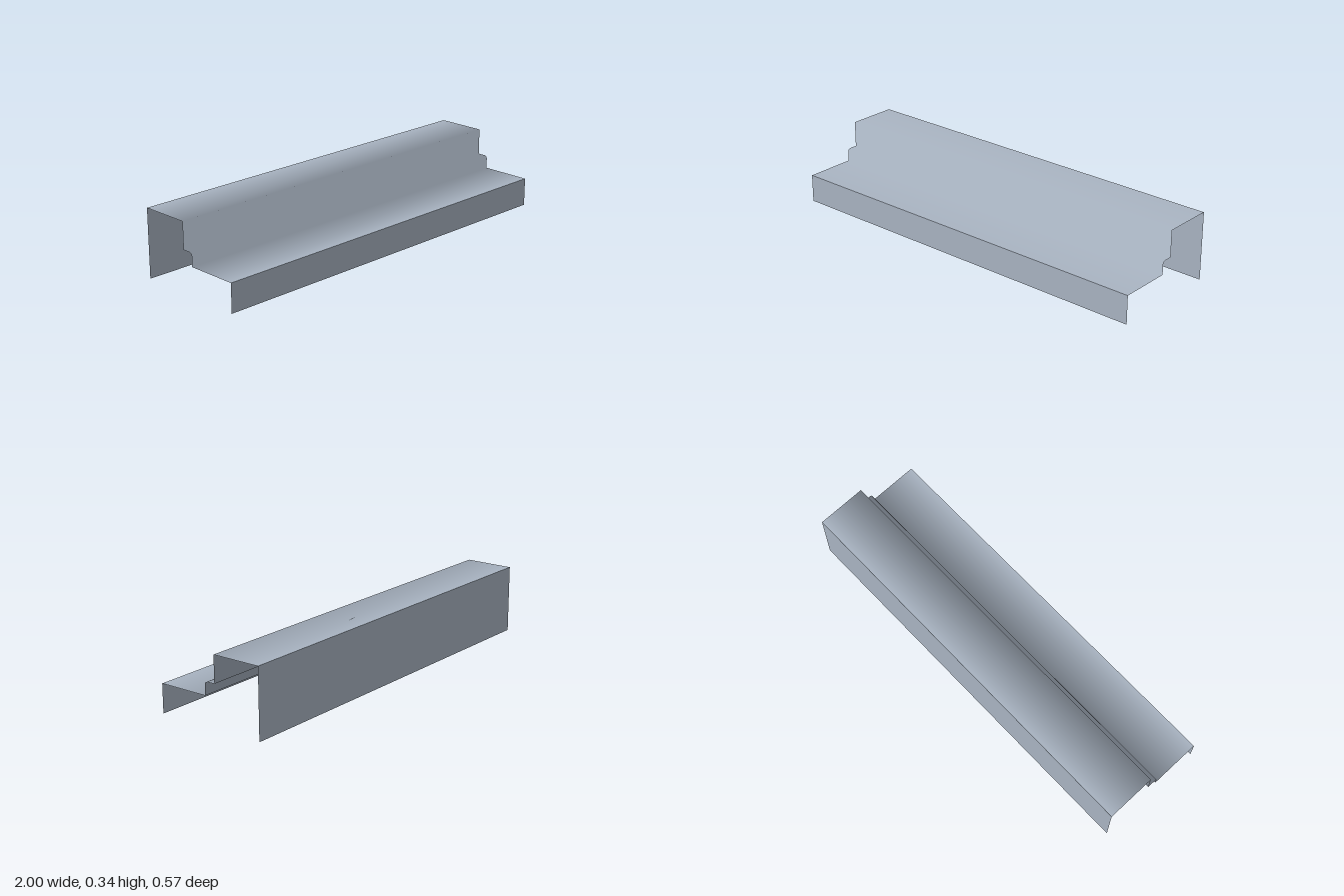
import * as THREE from 'three';

const HALF_LENGTH = 1;

// Sweeps an open profile of [z, y] points along x; normals are [z, y] per point
function sheet(name, profile, normals, material) {
  const position = [], normal = [], index = [];
  profile.forEach(([z, y], i) => {
    const n = new THREE.Vector3(0, normals[i][1], normals[i][0]).normalize();
    for (const x of [-HALF_LENGTH, HALF_LENGTH]) {
      position.push(x, y, z);
      normal.push(n.x, n.y, n.z);
    }
    if (i > 0) {
      const a = 2 * (i - 1);
      index.push(a, a + 1, a + 3, a, a + 3, a + 2);
    }
  });
  const geometry = new THREE.BufferGeometry();
  geometry.setAttribute('position', new THREE.Float32BufferAttribute(position, 3));
  geometry.setAttribute('normal', new THREE.Float32BufferAttribute(normal, 3));
  geometry.setIndex(index);
  const mesh = new THREE.Mesh(geometry, material);
  mesh.name = name;
  return mesh;
}

export function createModel() {
  const group = new THREE.Group();
  group.name = 'steppedSheetProfile';

  const steel = new THREE.MeshStandardMaterial({ color: 0xa9b4c2, side: THREE.DoubleSide });
  steel.name = 'greySteel';

  const up = [0, 1], front = [1, 0], back = [-1, 0], step = [0.89, 0.45];

  // Short front flange
  group.add(sheet('frontFlange', [[0.283, 0], [0.283, 0.143]], [front, front], steel));

  // Lower shelf, small rounded step, riser and upper shelf, blended smoothly
  const stepped = [
    [0.283, 0.143], [0.024, 0.143], [0.024, 0.195], [0.02, 0.205], [0.01, 0.209],
    [-0.032, 0.209], [-0.032, 0.342], [-0.283, 0.342],
  ];
  const steppedNormals = stepped.map((p, i) => (i === 0 || i === stepped.length - 1 ? up : step));
  group.add(sheet('steppedTop', stepped, steppedNormals, steel));

  // Tall back wall
  group.add(sheet('backWall', [[-0.283, 0.342], [-0.283, 0]], [back, back], steel));

  return group;
}
